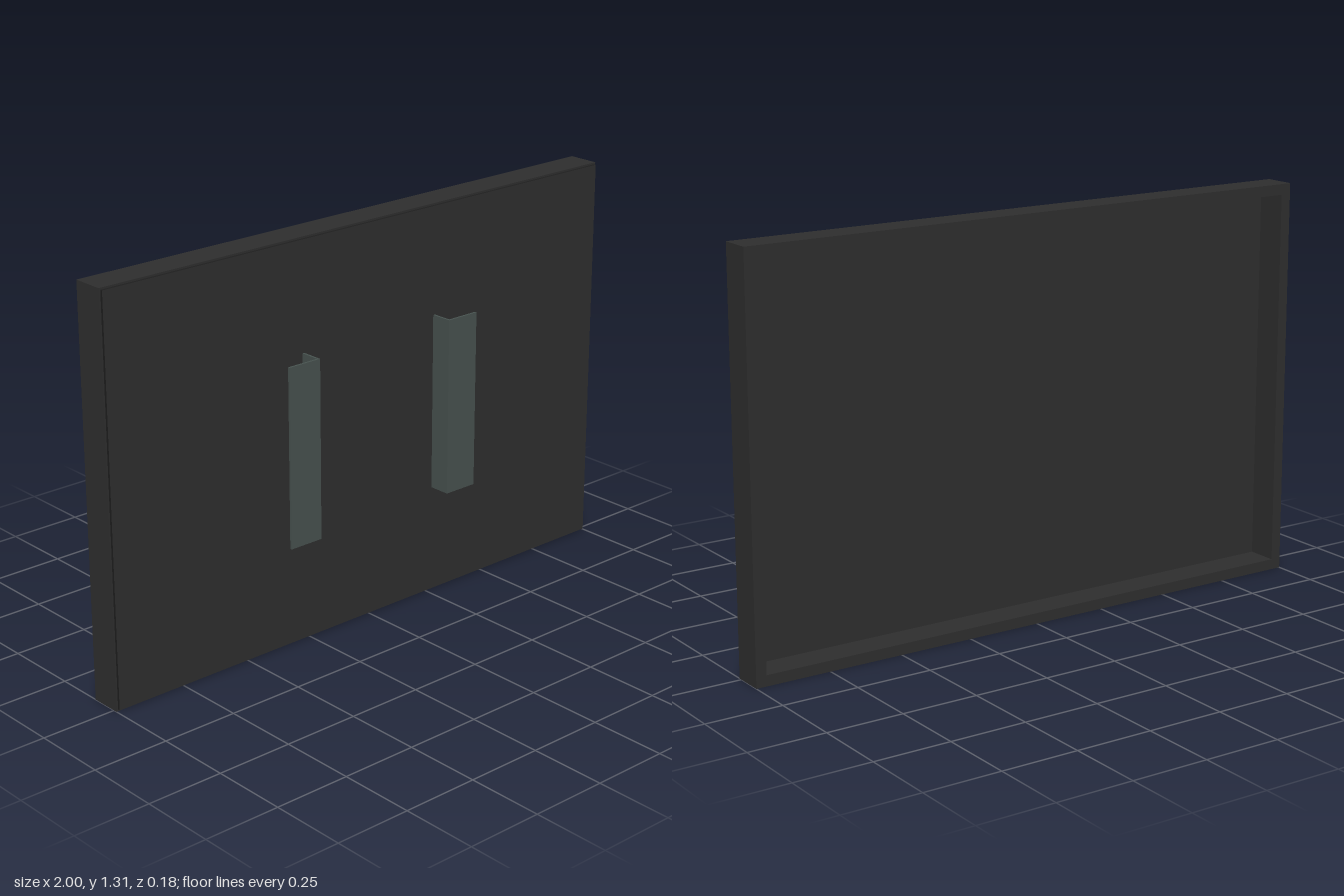
import * as THREE from 'three';

const W = 2, H = 1.31, RIM = 0.035;
const BACK = -0.092, SEAM = 0.012, FRONT = 0.02;

function material(name, color) {
  const m = new THREE.MeshStandardMaterial({ color });
  m.name = name;
  return m;
}

function box(name, mat, x0, x1, y0, y1, z0, z1) {
  const mesh = new THREE.Mesh(new THREE.BoxGeometry(x1 - x0, y1 - y0, z1 - z0), mat);
  mesh.position.set((x0 + x1) / 2, (y0 + y1) / 2, (z0 + z1) / 2);
  mesh.name = name;
  return mesh;
}

// Closed outline from a list of points
function outline(points, Type = THREE.Shape) {
  return new Type(points.map(([x, y]) => new THREE.Vector2(x, y)));
}

export function createModel() {
  const charcoal = material('charcoal', 0x2e2e2e);
  const black = material('black', 0x1e1e1e);
  const steel = material('greenGreySteel', 0x47524f);
  const group = new THREE.Group();
  group.name = 'wallPanel';

  // Open rectangular frame behind the panel
  const rim = outline([[-W / 2, 0], [W / 2, 0], [W / 2, H], [-W / 2, H]]);
  const x = W / 2 - RIM;
  rim.holes.push(outline([[-x, RIM], [-x, H - RIM], [x, H - RIM], [x, RIM]], THREE.Path));
  const frame = new THREE.Mesh(
    new THREE.ExtrudeGeometry(rim, { depth: SEAM - BACK, bevelEnabled: false }), charcoal);
  frame.position.z = BACK;
  frame.name = 'frame';
  group.add(frame);

  // Front sheet, slightly inset, with dark edges
  const edge = 0.006;
  group.add(box('frontPanel', [black, black, black, black, charcoal, charcoal],
    -W / 2 + edge, W / 2 - edge, edge, H - edge, SEAM - 0.002, FRONT));

  // Mirrored L-section brackets with flanges turned outwards
  const t = 0.007, z1 = 0.092, y0 = 0.365, y1 = 0.95;
  for (const side of [-1, 1]) {
    const a = 0.266, b = 0.385;
    // plan drawn in x and -z, then stood upright
    const pts = [[a, -FRONT], [a, -z1], [b, -z1], [b, -z1 + t], [a + t, -z1 + t], [a + t, -FRONT]];
    const plan = outline(pts.map(([px, py]) => [px * side, py]));
    const geo = new THREE.ExtrudeGeometry(plan, { depth: y1 - y0, bevelEnabled: false });
    geo.rotateX(-Math.PI / 2);
    const bracket = new THREE.Mesh(geo, steel);
    bracket.position.y = y0;
    bracket.name = side > 0 ? 'leftBracket' : 'rightBracket';
    group.add(bracket);
  }
  return group;
}
